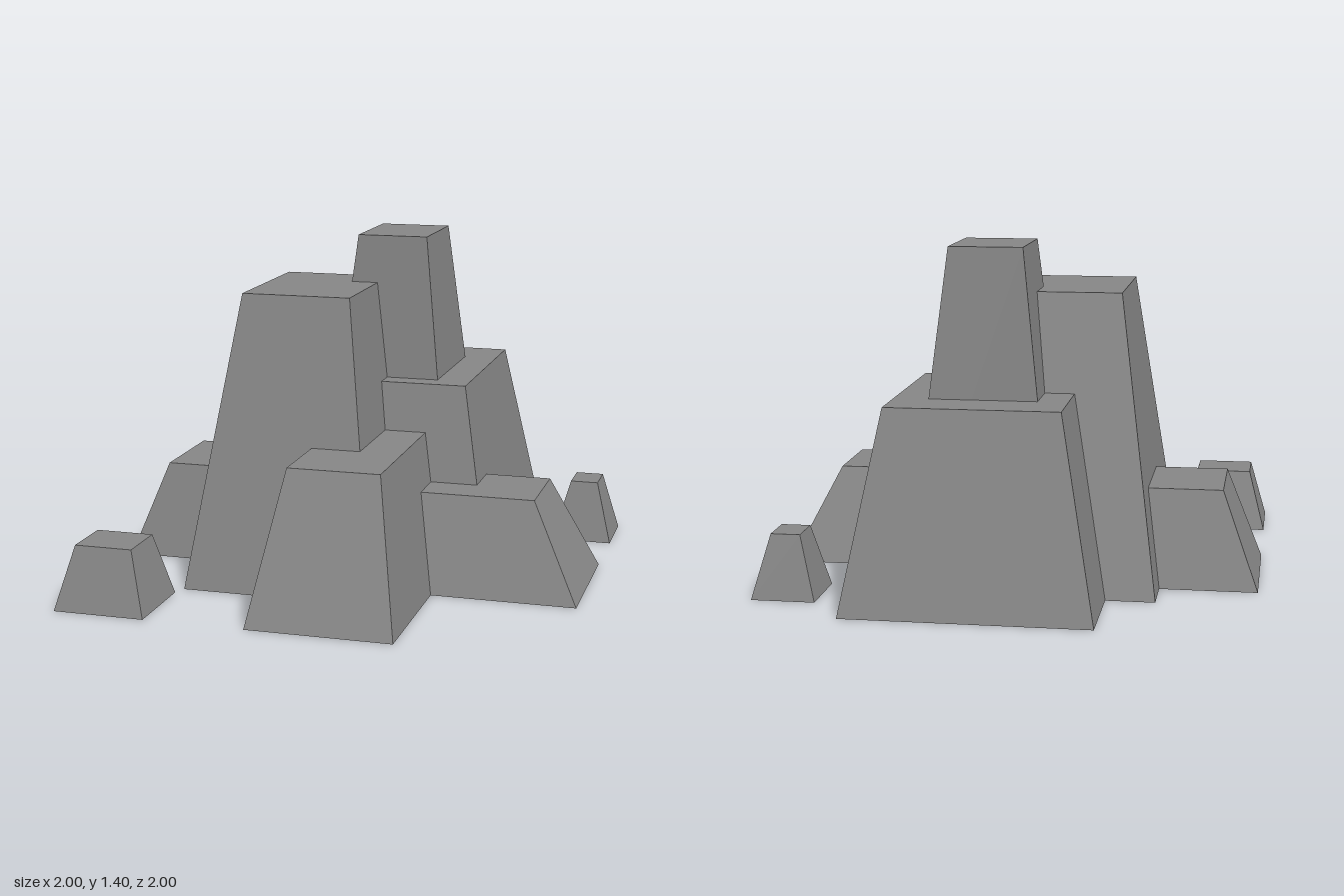
import * as THREE from 'three';

// Tapered block: base and top are [x0, x1, z0, z1] rectangles, h the height
function taperedBlock(base, top, h) {
  const geo = new THREE.BoxGeometry(1, 1, 1);
  const p = geo.attributes.position;
  for (let i = 0; i < p.count; i++) {
    const r = p.getY(i) > 0 ? top : base;
    p.setXYZ(
      i,
      p.getX(i) > 0 ? r[1] : r[0],
      p.getY(i) > 0 ? h : 0,
      p.getZ(i) > 0 ? r[3] : r[2]
    );
  }
  geo.computeVertexNormals(); // faces share no corners, so they stay flat
  return geo;
}

export function createModel() {
  const group = new THREE.Group();
  group.name = 'rockFormation';
  const stone = new THREE.MeshStandardMaterial({ color: 0x888888 });
  stone.name = 'stone grey';
  stone.flatShading = true;

  const rocks = [
    // name, base rectangle, top rectangle, height
    ['backRock', [-0.4, 0.6, -1, 0.2], [-0.25, 0.45, -0.82, 0.02], 0.8],
    ['tallRock', [-0.6, 0.2, -0.6, 0.6], [-0.43, 0.03, -0.31, 0.31], 1.2],
    ['peakRock', [-0.22, 0.4, -0.7, 0.02], [-0.06, 0.24, -0.54, -0.14], 1.4],
    ['frontRock', [-0.2, 0.4, -0.2, 1], [-0.09, 0.29, 0.02, 0.78], 0.6],
    ['leftRock', [0, 1, -0.2, 0.4], [0.2, 0.8, -0.08, 0.28], 0.4],
    ['rightRock', [-1, -0.2, -0.4, 0.2], [-0.85, -0.35, -0.31, 0.11], 0.4],
    // loose stones
    ['frontPebble', [-1, -0.62, 0.65, 1], [-0.93, -0.69, 0.71, 0.93], 0.26],
    ['backPebble', [0.74, 1, -0.8, -0.52], [0.81, 0.93, -0.74, -0.58], 0.26],
  ];
  for (const [name, base, top, h] of rocks) {
    const mesh = new THREE.Mesh(taperedBlock(base, top, h), stone);
    mesh.name = name;
    group.add(mesh);
  }
  return group;
}
